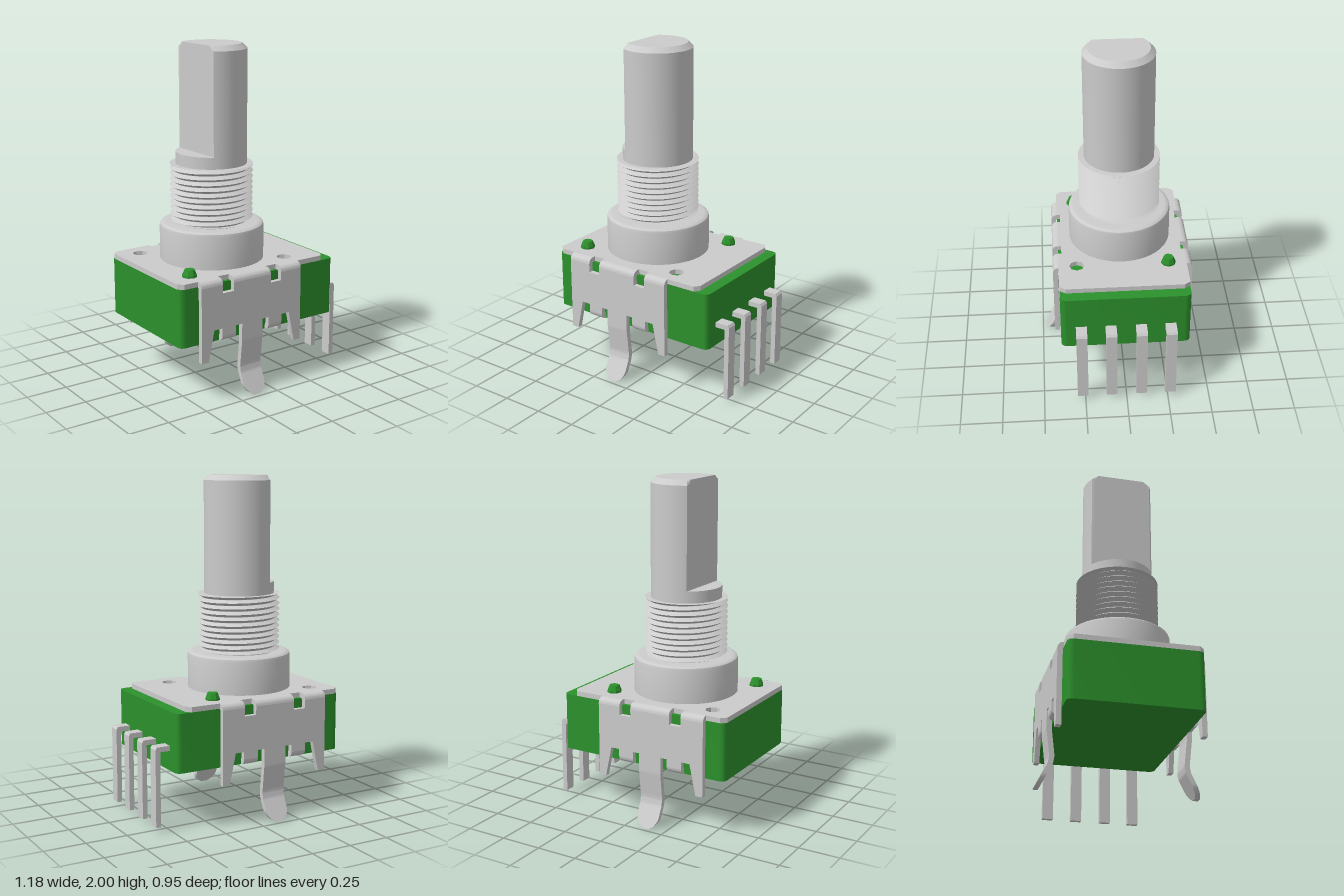
import * as THREE from 'three';
import { toCreasedNormals } from 'three/addons/utils/BufferGeometryUtils.js';

const AXIS = -0.125; // x of the shaft axis
const grey = new THREE.MeshStandardMaterial({ color: 0xcccccc, side: THREE.DoubleSide });
const green = new THREE.MeshStandardMaterial({ color: 0x2c912c });

const V = (pts) => pts.map(([x, y]) => new THREE.Vector2(x, y));

function add(parent, name, geometry, material, x = 0, y = 0, z = 0) {
  const mesh = new THREE.Mesh(geometry, material);
  mesh.name = name;
  mesh.position.set(x, y, z);
  parent.add(mesh);
  return mesh;
}

function extrude(shape, depth) {
  return new THREE.ExtrudeGeometry(shape, { depth, bevelEnabled: false, curveSegments: 8 });
}

// Moves every vertex by a rule
function warp(geometry, rule) {
  const p = geometry.attributes.position;
  const v = new THREE.Vector3();
  for (let i = 0; i < p.count; i++) {
    rule(v.fromBufferAttribute(p, i));
    p.setXYZ(i, v.x, v.y, v.z);
  }
  return geometry;
}

function lathe(pts, segments = 64, rule = () => {}, crease = 0.5) {
  return toCreasedNormals(warp(new THREE.LatheGeometry(V(pts), segments), rule), crease);
}

// Green block with rounded upright edges
function housing() {
  const [x0, x1, z, r] = [-0.595, 0.5, 0.385, 0.04];
  const s = new THREE.Shape();
  s.moveTo(x0 + r, -z);
  s.lineTo(x1 - r, -z);
  s.quadraticCurveTo(x1, -z, x1, -z + r);
  s.lineTo(x1, z - r);
  s.quadraticCurveTo(x1, z, x1 - r, z);
  s.lineTo(x0 + r, z);
  s.quadraticCurveTo(x0, z, x0, z - r);
  s.lineTo(x0, -z + r);
  s.quadraticCurveTo(x0, -z, x0 + r, -z);
  return toCreasedNormals(extrude(s, 0.345).rotateX(-Math.PI / 2), 0.6);
}

// Top plate with edge notches and four peg holes
const pegSpots = [[-0.46, 0.275], [0.21, -0.275], [-0.46, -0.275], [0.21, 0.275]];
function plate() {
  const e = 0.385, n = 0.365;
  const half = [[-0.595, 0.355], [-0.565, e], [-0.33, e], [-0.33, n], [-0.255, n], [-0.255, e],
    [0.005, e], [0.005, n], [0.08, n], [0.08, e], [0.405, e], [0.43, 0.35]];
  const s = new THREE.Shape(V([...half, ...half.map(([x, z]) => [x, -z]).reverse()]));
  for (const [x, z] of pegSpots) {
    const hole = new THREE.Path();
    hole.setFromPoints(V([0, 1, 2, 3, 4, 5, 6, 7].map((i) => [
      x + 0.045 * Math.cos(i * Math.PI / 4), -z + 0.045 * Math.sin(i * Math.PI / 4)])));
    s.holes.push(hole);
  }
  return extrude(s, 0.03).rotateX(-Math.PI / 2);
}

// Quarter-round fold running along x; dir 1 curls over the top, -1 under the bottom
function fold(x0, x1, dir) {
  const r = 0.035, pts = [[0, 0]];
  for (let i = 0; i <= 6; i++) {
    const a = i / 6 * Math.PI / 2;
    pts.push([r * Math.cos(a), dir * r * Math.sin(a)]);
  }
  const g = extrude(new THREE.Shape(V(pts)), x1 - x0).rotateY(-Math.PI / 2).translate(x1, 0, 0);
  return toCreasedNormals(g, 0.6);
}

// One side of the metal bracket: flap, folds, end legs and bent mounting tab
function bracketSide() {
  const g = new THREE.Group();
  g.name = 'bracketSide';
  const half = [[0, 0.695], [0.13, 0.695], [0.13, 0.645], [0.205, 0.645], [0.205, 0.695], [0.35, 0.695],
    [0.35, 0.25], [0.305, 0.25], [0.265, 0.435], [0.21, 0.435], [0.21, 0.39], [0.115, 0.39],
    [0.115, 0.435], [0, 0.435]];
  const mirrored = half.slice(1, -1).map(([x, y]) => [-x, y]).reverse();
  add(g, 'flap', extrude(new THREE.Shape(V([...half, ...mirrored])), 0.03), grey, 0, 0, 0.39);
  for (const [a, b] of [[-0.35, -0.205], [-0.13, 0.13], [0.205, 0.35]]) {
    add(g, 'topFold', fold(a, b, 1), grey, 0, 0.695, 0.385);
  }
  for (const [a, b] of [[-0.21, -0.115], [0.115, 0.21]]) {
    add(g, 'bottomClip', fold(a, b, -1), grey, 0, 0.39, 0.385);
  }
  // Tab leans in, then kicks outwards to a rounded tip
  const path = [[0, 0.458], [0.13, 0.393], [0.17, 0.386], [0.33, 0.405], [0.45, 0.405]];
  const centre = (y) => {
    let i = 0;
    while (i < path.length - 2 && y > path[i + 1][0]) i++;
    const [[y0, z0], [y1, z1]] = [path[i], path[i + 1]];
    return z0 + (z1 - z0) * (y - y0) / (y1 - y0);
  };
  const tab = warp(new THREE.BoxGeometry(2, 0.45, 0.03, 1, 45, 1).translate(0, 0.225, 0), (v) => {
    const k = Math.max(0, (0.07 - v.y) / 0.07);
    v.x *= 0.0725 * Math.sqrt(Math.max(0.1, 1 - k * k));
    v.z += centre(v.y);
  });
  add(g, 'mountingTab', toCreasedNormals(tab, 0.6), grey);
  return g;
}

// Bushing thread: a zigzag lathe sheared into a helix and trimmed at both ends
function thread() {
  const pitch = 0.034, pts = [];
  for (let i = -2; i <= 24; i++) pts.push([i % 2 ? 0.245 : 0.217, 0.95 + i * pitch / 2]);
  return lathe(pts, 48, (v) => {
    const turn = Math.atan2(v.x, v.z) / (2 * Math.PI);
    // the seam of the lathe lies on +z, where the turn jumps from one to zero
    v.y += pitch * (turn < -1e-9 ? turn + 1 : Math.max(turn, 0));
  });
}

// Same shear, but driven by column index so the seam closes
function helicalThread() {
  const pitch = 0.034, columns = 48, pts = [];
  for (let i = -4; i <= 24; i++) pts.push([i % 2 ? 0.245 : 0.217, 0.96 + i * pitch / 2]);
  const g = new THREE.LatheGeometry(V(pts), columns);
  const p = g.attributes.position;
  for (let i = 0; i < p.count; i++) {
    const turn = Math.floor(i / pts.length) / columns;
    p.setY(i, THREE.MathUtils.clamp(p.getY(i) + pitch * turn, 0.96, 1.3));
  }
  return toCreasedNormals(g, 0.5);
}

export function createModel() {
  const model = new THREE.Group();
  model.name = 'rotaryEncoder';

  add(model, 'housing', housing(), green, 0, 0.355, 0);
  add(model, 'topPlate', plate(), grey, 0, 0.7, 0);

  // Two of the four holes carry raised pegs
  for (const [x, z] of pegSpots.slice(0, 2)) {
    const peg = lathe([[0.043, 0.69], [0.043, 0.74], [0.03, 0.772], [0, 0.772]], 8, undefined, 0.1);
    add(model, 'peg', peg, green, x, 0, z);
  }

  // Collar and threaded bushing
  add(model, 'collar', lathe([[0.31, 0.72], [0.31, 0.925], [0.306, 0.94], [0.295, 0.948],
    [0.28, 0.95], [0.2, 0.95]]), grey, AXIS);
  add(model, 'bushingCore', lathe([[0.218, 0.94], [0.218, 1.3], [0.2, 1.3]]), grey, AXIS);
  add(model, 'bushingThread', helicalThread(), grey, AXIS);

  // Shaft with a flat cut on one side
  const shaft = lathe([[0.21, 0.95], [0.21, 1.37], [0.21, 1.3701], [0.21, 1.97], [0.18, 2], [0, 2]], 96, (v) => {
    if (v.y > 1.37005) v.x = Math.max(v.x, -0.105);
  });
  add(model, 'shaft', shaft, grey, AXIS);

  // Bracket sides, front and back
  for (const turn of [0, Math.PI]) {
    const side = bracketSide();
    side.position.x = AXIS;
    side.rotation.y = turn;
    model.add(side);
  }

  // Row of L-shaped pins
  const pin = extrude(new THREE.Shape(V([[0.49, 0.47], [0.56, 0.47], [0.56, 0.03], [0.59, 0.03],
    [0.59, 0.485], [0.58, 0.5], [0.49, 0.5]])), 0.065);
  for (const z of [-0.265, -0.09, 0.09, 0.265]) add(model, 'pin', pin, grey, 0, 0, z - 0.0325);

  return model;
}
